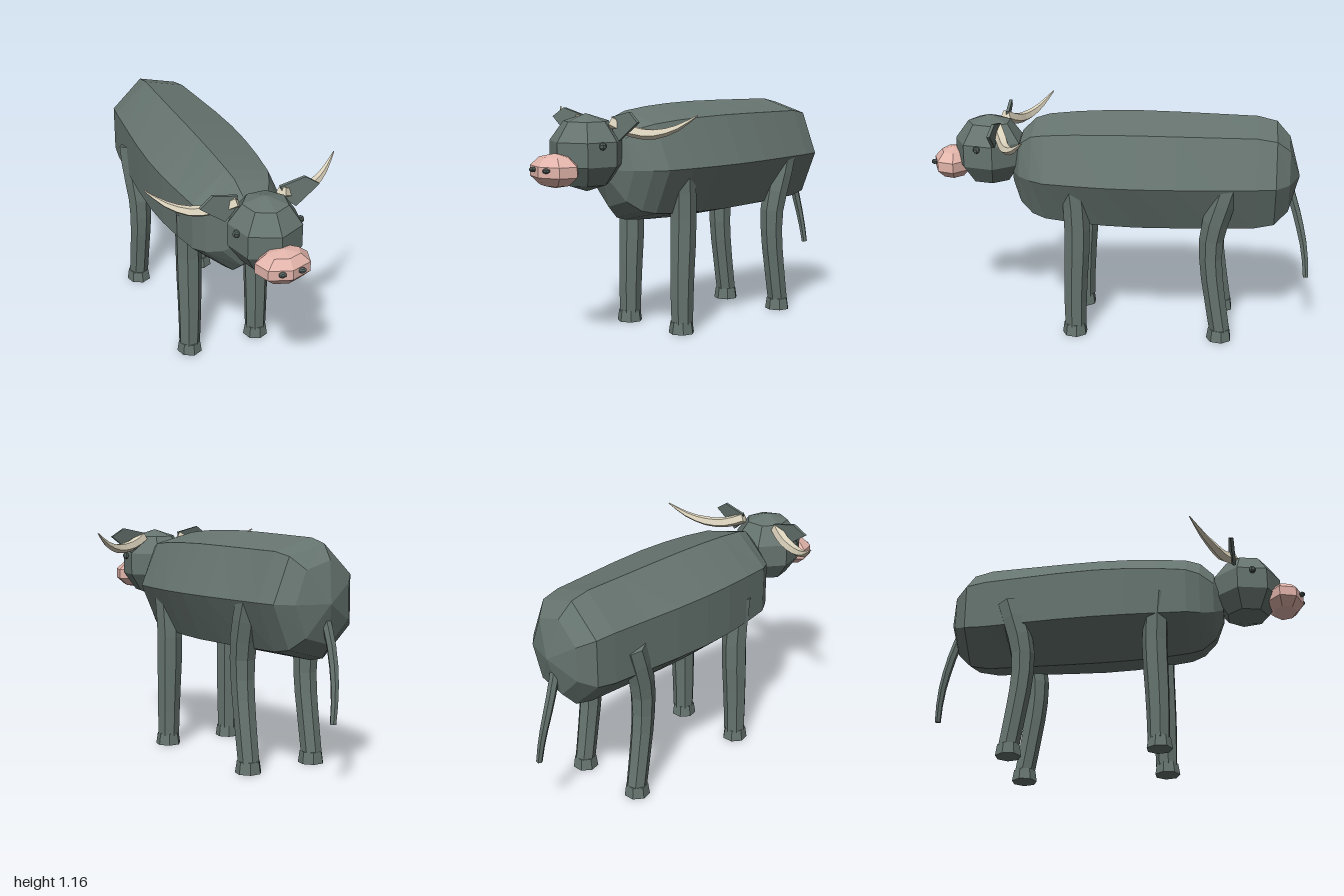
import * as THREE from 'three';

const mat = (color) => new THREE.MeshStandardMaterial({ color, flatShading: true });
const hide = mat(0x66746f), dark = mat(0x525e5b), pink = mat(0xe3b5ab), ivory = mat(0xded5be);
const V = (x, y, z) => new THREE.Vector3(x, y, z);

// Closed skin over rings of points, with a fan at both ends
function loft(rings) {
  const pos = [];
  const tri = (...p) => p.forEach((v) => pos.push(v.x, v.y, v.z));
  const n = rings[0].length;
  const mid = (r) => r.reduce((s, p) => s.add(p), V(0, 0, 0)).divideScalar(n);
  const first = rings[0], last = rings[rings.length - 1];
  const c0 = mid(first), c1 = mid(last);
  for (let j = 0; j < n; j++) {
    const k = (j + 1) % n;
    tri(c0, first[k], first[j]);
    for (let i = 0; i < rings.length - 1; i++) {
      const a = rings[i], b = rings[i + 1];
      tri(a[j], a[k], b[k]);
      tri(a[j], b[k], b[j]);
    }
    tri(c1, last[j], last[k]);
  }
  const g = new THREE.BufferGeometry();
  g.setAttribute('position', new THREE.Float32BufferAttribute(pos, 3));
  g.computeVertexNormals();
  return g;
}

// Tapered limb along a curve; radii are spread evenly along it
function limb(points, radii, sides, steps) {
  const curve = new THREE.CatmullRomCurve3(points.map((p) => V(...p)));
  const f = curve.computeFrenetFrames(steps);
  const rings = [];
  for (let i = 0; i <= steps; i++) {
    const t = (i / steps) * (radii.length - 1);
    const k = Math.min(Math.floor(t), radii.length - 2);
    const r = THREE.MathUtils.lerp(radii[k], radii[k + 1], t - k);
    const c = curve.getPointAt(i / steps);
    rings.push(Array.from({ length: sides }, (_, j) => {
      const a = (j / sides) * Math.PI * 2;
      return c.clone().addScaledVector(f.normals[i], Math.cos(a) * r)
        .addScaledVector(f.binormals[i], Math.sin(a) * r);
    }));
  }
  return loft(rings);
}

export function createModel() {
  const root = new THREE.Group();
  const add = (name, geometry, material, x = 0, y = 0, z = 0) => {
    const m = new THREE.Mesh(geometry, material);
    m.name = name;
    m.position.set(x, y, z);
    root.add(m);
    return m;
  };
  // Faceted ball with a vertex line facing forward
  const ball = (rx, ry, rz, w = 7, h = 5) =>
    new THREE.SphereGeometry(1, w, h).rotateY(Math.PI / 2).scale(rx, ry, rz);

  // Seven-sided barrel body: z, half width, half height
  const sections = [
    [-0.925, 0.004, 0.004], [-0.87, 0.165, 0.205], [-0.8, 0.24, 0.282], [-0.7, 0.258, 0.305],
    [-0.5, 0.278, 0.309], [-0.3, 0.298, 0.313], [-0.1, 0.308, 0.315], [0.07, 0.303, 0.311],
    [0.23, 0.287, 0.302], [0.38, 0.265, 0.286], [0.45, 0.222, 0.265], [0.518, 0.155, 0.2],
    [0.565, 0.06, 0.08],
  ];
  add('body', loft(sections.map(([z, w, h]) => Array.from({ length: 7 }, (_, j) => {
    const a = (j / 7) * Math.PI * 2;
    return V(Math.cos(a) * w, 0.856 + Math.sin(a) * h, z);
  }))), hide);

  // Head and muzzle
  add('head', ball(0.19, 0.19, 0.192), hide, 0, 0.95, 0.69);
  add('muzzle', ball(0.146, 0.083, 0.107), pink, 0, 0.877, 0.888);

  // Tail
  add('tail', limb([[0, 0.83, -0.86], [-0.01, 0.7, -0.905], [-0.005, 0.56, -0.945],
    [0.01, 0.43, -0.973], [0.028, 0.3, -0.985]], [0.026, 0.023, 0.016], 6, 6), hide);

  // Ear outline, pointing to +x
  const ear = new THREE.Shape([[0.11, 1.125], [0.13, 1.06], [0.185, 1.015], [0.31, 1.108], [0.24, 1.154]]
    .map(([x, y]) => new THREE.Vector2(x, y)));

  for (const s of [1, -1]) {
    const side = s > 0 ? 'left' : 'right';
    const mirror = (pts) => pts.map(([x, y, z]) => [x * s, y, z]);

    // Eye and nostril
    add(side + 'Eye', ball(0.02, 0.02, 0.018, 7, 5), dark, s * 0.165, 0.993, 0.73);
    add(side + 'Nostril', ball(0.02, 0.013, 0.017, 8, 5), dark, s * 0.05, 0.887, 0.982);

    // Ear
    const earGeo = new THREE.ExtrudeGeometry(ear, { depth: 0.016, bevelEnabled: false });
    const p = earGeo.attributes.position;
    for (let i = 0; i < p.count; i++) {
      p.setZ(i, p.getZ(i) + 0.615 + (p.getX(i) - 0.13) * 0.08 - (p.getY(i) - 1.09) * 0.15);
    }
    if (s < 0) earGeo.rotateY(Math.PI).scale(1, 1, -1);
    if (s < 0) {
      // restore the winding after the mirror
      for (let i = 0; i < p.count; i += 3) {
        const a = V().fromBufferAttribute(p, i), b = V().fromBufferAttribute(p, i + 1);
        p.setXYZ(i, b.x, b.y, b.z);
        p.setXYZ(i + 1, a.x, a.y, a.z);
      }
    }
    earGeo.computeVertexNormals();
    add(side + 'Ear', earGeo, hide);

    // Horn sweeping out, back and up
    add(side + 'Horn', limb(mirror([[0.115, 1.1, 0.628], [0.2, 1.062, 0.588], [0.31, 1.048, 0.548],
      [0.41, 1.076, 0.492], [0.5, 1.14, 0.43]]), [0.031, 0.03, 0.026, 0.016, 0.003], 5, 8), ivory);

    // Legs rise into the body and stand on hooves
    add(side + 'FrontLeg', limb(mirror([[0.194, 0.05, 0.225], [0.192, 0.25, 0.224], [0.191, 0.45, 0.216],
      [0.192, 0.65, 0.213], [0.203, 0.86, 0.23]]), [0.057, 0.062, 0.067, 0.068, 0.064], 7, 6), hide);
    add(side + 'HindLeg', limb(mirror([[0.194, 0.05, -0.54], [0.193, 0.25, -0.508], [0.192, 0.44, -0.484],
      [0.195, 0.6, -0.488], [0.205, 0.74, -0.525], [0.205, 0.86, -0.56]]),
    [0.054, 0.056, 0.06, 0.068, 0.068], 7, 8), hide);
    for (const [name, z] of [['FrontHoof', 0.227], ['HindHoof', -0.538]]) {
      add(side + name, new THREE.CylinderGeometry(0.058, 0.067, 0.06, 7), hide, s * 0.194, 0.03, z);
    }
  }
  return root;
}
